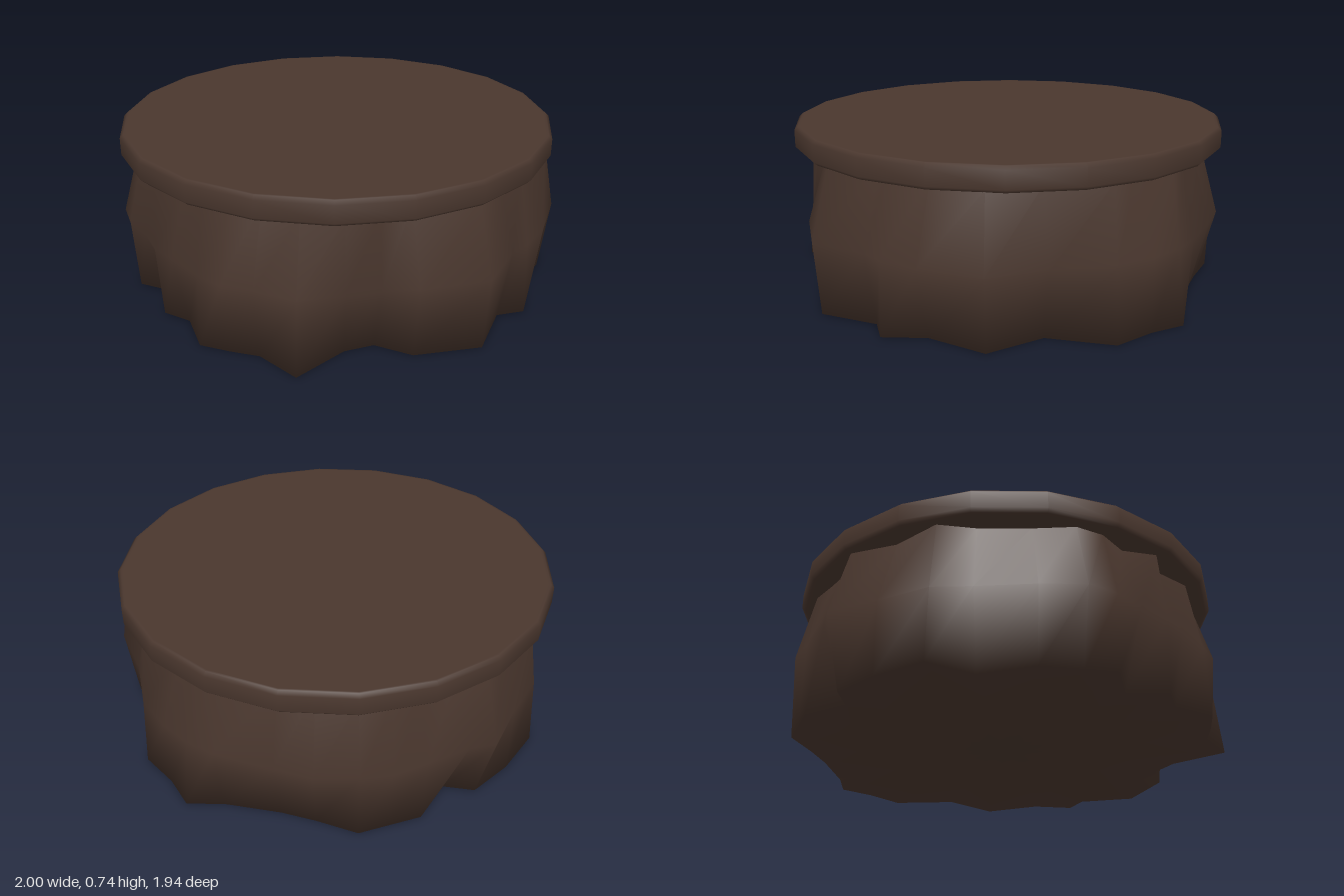
import * as THREE from 'three';

const brown = new THREE.MeshStandardMaterial({ color: 0x4a372e });
brown.name = 'dark brown';

// Fold lines round the drape: angle in degrees from +x towards +z,
// then the radius at the hem, the middle and the top.
const folds = [
  [-64, 0.82, 0.91, 0.82], [-49, 0.95, 0.99, 0.93], [-33, 0.87, 0.96, 0.82], [-22, 0.95, 0.94, 0.88],
  [-16, 0.87, 0.92, 0.83], [-1, 0.975, 1.0, 0.91], [16, 0.89, 0.93, 0.83], [25, 0.78, 0.9, 0.86],
  [34, 0.81, 0.92, 0.9], [45, 1.0, 0.97, 0.87], [56, 0.9, 0.94, 0.83], [64, 0.92, 0.96, 0.87],
  [72, 0.95, 0.94, 0.89], [83, 0.86, 0.92, 0.83], [91, 0.91, 0.93, 0.9], [100, 0.8, 0.92, 0.83],
  [109, 0.94, 0.96, 0.88], [117, 0.91, 0.98, 0.89], [128, 0.9, 0.94, 0.84], [143, 0.83, 0.92, 0.84],
  [153, 0.97, 0.95, 0.9], [167, 0.94, 0.94, 0.84], [180, 0.92, 1.0, 0.91], [186, 0.82, 0.95, 0.84],
  [198, 0.92, 0.94, 0.85], [207, 0.92, 0.96, 0.89], [215, 0.94, 0.95, 0.87], [226, 0.87, 0.95, 0.82],
  [236, 0.85, 0.93, 0.83], [252, 0.9, 0.94, 0.87], [260, 0.99, 0.95, 0.9], [269, 0.95, 0.95, 0.82],
  [280, 0.97, 0.95, 0.91],
];

// Closed drape: three rings of fold points and a fan across the underside
function drapeGeometry() {
  const heights = [0, 0.32, 0.64];
  const n = folds.length;
  const pos = [];
  const index = [];
  heights.forEach((y, k) => {
    for (const fold of folds) {
      const a = THREE.MathUtils.degToRad(fold[0]);
      pos.push(fold[k + 1] * Math.cos(a), y, fold[k + 1] * Math.sin(a));
    }
  });
  const centre = pos.length / 3;
  pos.push(0, 0, 0);
  for (let j = 0; j < n; j++) {
    const next = (j + 1) % n;
    for (let k = 0; k < 2; k++) {
      const a = k * n + j, b = k * n + next, c = a + n, d = b + n;
      index.push(a, c, b, b, c, d);
    }
    index.push(centre, j, next);
  }
  const geo = new THREE.BufferGeometry();
  geo.setAttribute('position', new THREE.Float32BufferAttribute(pos, 3));
  geo.setIndex(index);
  geo.computeVertexNormals();
  return geo;
}

export function createModel() {
  const group = new THREE.Group();
  group.name = 'drapedRoundSeat';

  const drape = new THREE.Mesh(drapeGeometry(), brown);
  drape.name = 'foldedDrape';
  group.add(drape);

  // Twenty-sided lid with a small bevel on both edges
  const profile = [
    [0, 0.632], [0.93, 0.632], [0.945, 0.632], [0.96, 0.647],
    [0.96, 0.72], [0.945, 0.735], [0.935, 0.735], [0, 0.735],
  ].map(([r, y]) => new THREE.Vector2(r, y));
  const lid = new THREE.Mesh(new THREE.LatheGeometry(profile, 20), brown);
  lid.name = 'roundLid';
  lid.position.z = 0.01;
  group.add(lid);

  return group;
}
